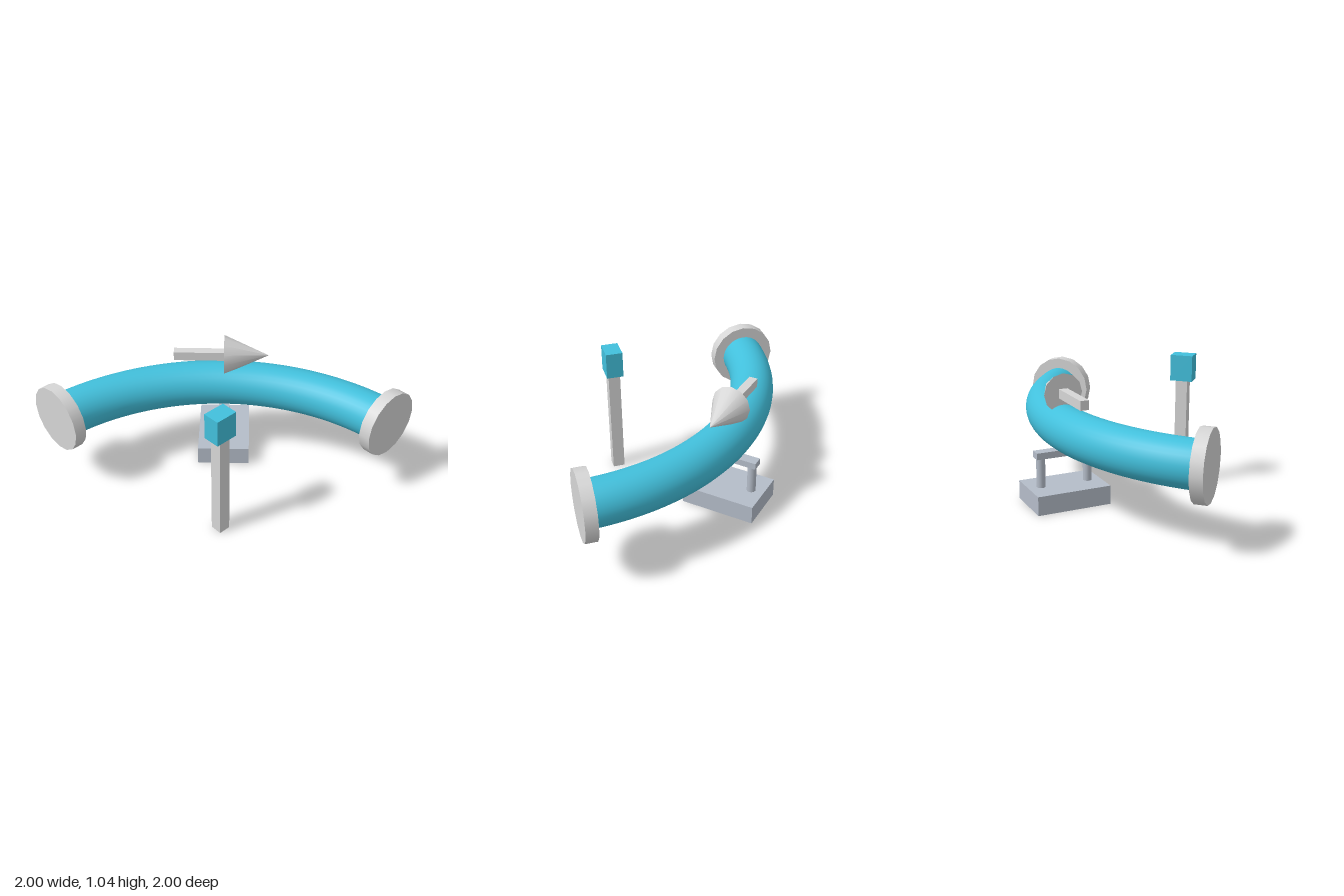
import * as THREE from 'three';

const blue = new THREE.MeshStandardMaterial({ color: 0x42c0dc });
blue.name = 'pipe blue';
const pale = new THREE.MeshStandardMaterial({ color: 0xd6d6d6 });
pale.name = 'pale grey';
const steel = new THREE.MeshStandardMaterial({ color: 0xb4bcc8 });
steel.name = 'steel grey';

function add(parent, name, geometry, material, x, y, z) {
  const mesh = new THREE.Mesh(geometry, material);
  mesh.name = name;
  mesh.position.set(x, y, z);
  parent.add(mesh);
  return mesh;
}

const box = (w, h, d) => new THREE.BoxGeometry(w, h, d);

export function createModel() {
  const model = new THREE.Group();
  model.name = 'pipeBend';
  const pipeY = 0.585, R = 1.745, end = 0.745;

  // Quarter-turn pipe, bending around the corner at (-1, 1)
  const bend = new THREE.TorusGeometry(R, 0.17, 32, 64, Math.PI / 2).rotateX(-Math.PI / 2);
  add(model, 'pipe', bend, blue, -1, pipeY, 1);

  // Flanges closing both ends
  const flange = () => new THREE.CylinderGeometry(0.255, 0.255, 0.09, 16);
  add(model, 'leftEndFlange', flange().rotateZ(Math.PI / 2), pale, -0.955, pipeY, -end);
  add(model, 'frontEndFlange', flange().rotateX(Math.PI / 2), pale, end, pipeY, 0.955);

  // Support and arrow sit at the middle of the bend; local z follows the pipe
  const middle = new THREE.Group();
  middle.name = 'middleOfBend';
  middle.position.set(0.234, 0, -0.234);
  middle.rotation.y = Math.PI / 4;
  model.add(middle);

  // Support: base block, two posts, saddle plate
  const support = new THREE.Group();
  support.name = 'support';
  middle.add(support);
  add(support, 'base', box(0.578, 0.145, 0.4), steel, 0, 0.0725, 0);
  for (const side of [-1, 1]) {
    add(support, 'supportPost', new THREE.CylinderGeometry(0.034, 0.034, 0.225, 12), steel,
      side * 0.188, 0.2575, 0);
  }
  add(support, 'saddle', box(0.461, 0.05, 0.083), steel, 0, 0.395, 0);

  // Flow arrow on top of the pipe
  const arrow = new THREE.Group();
  arrow.name = 'flowArrow';
  middle.add(arrow);
  add(arrow, 'arrowShaft', box(0.066, 0.07, 0.385), pale, 0, 0.84, -0.1925);
  add(arrow, 'arrowHead', new THREE.ConeGeometry(0.15, 0.34, 12).rotateX(Math.PI / 2), pale,
    0, 0.84, 0.17);

  // Free-standing marker post with a box on top
  const marker = new THREE.Group();
  marker.name = 'marker';
  marker.position.set(-0.479, 0, 0.477);
  model.add(marker);
  add(marker, 'markerPost', box(0.09, 0.845, 0.09), pale, 0, 0.4225, 0);
  add(marker, 'markerBox', box(0.17, 0.2, 0.127), blue, 0, 0.945, 0);

  return model;
}
